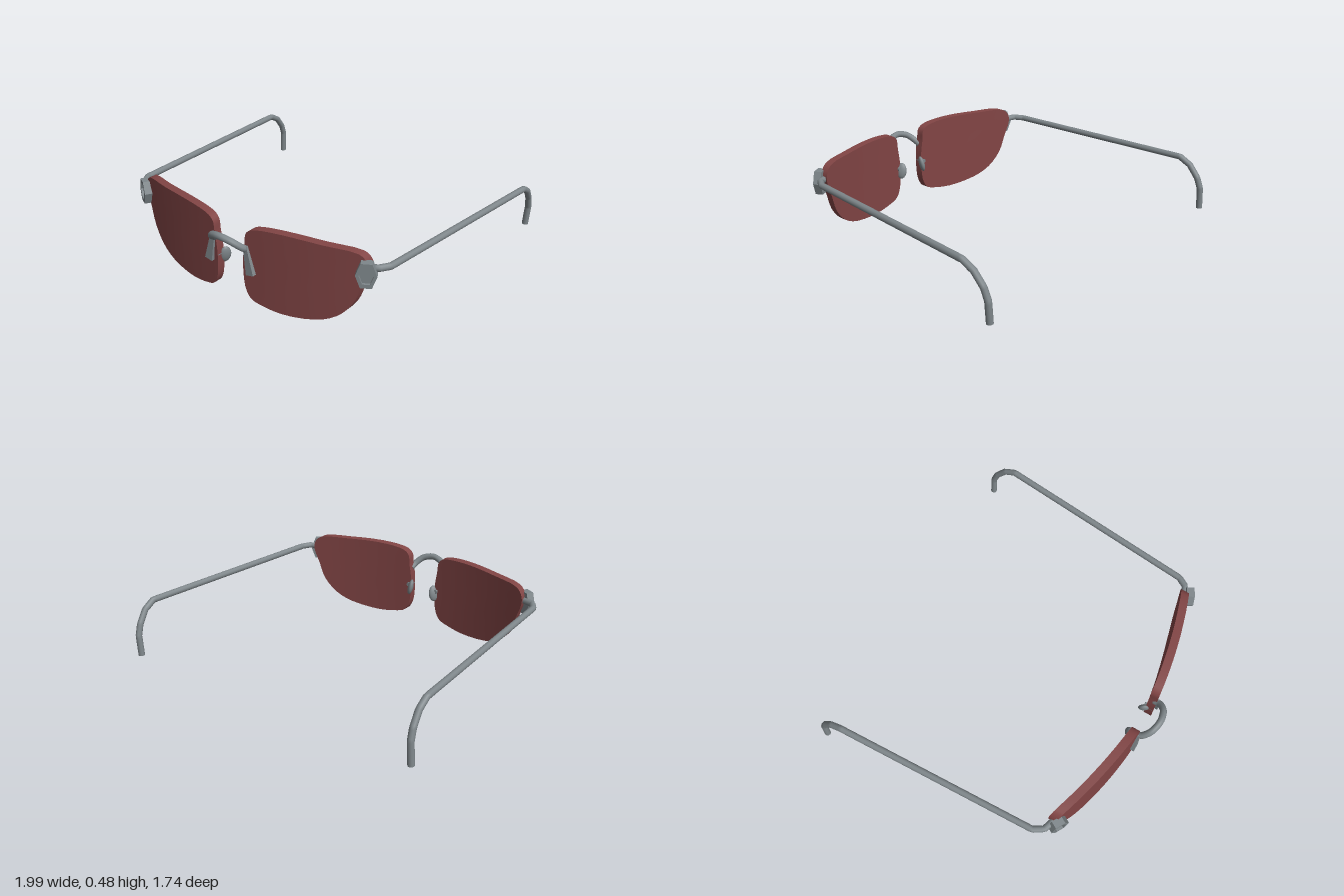
import * as THREE from 'three';
import { toCreasedNormals } from 'three/addons/utils/BufferGeometryUtils.js';

const MID = -0.015; // centre line between the lenses

// Lens outline: distance from the centre line, height
const OUTLINE = [
  [0.742, 0.47], [0.565, 0.482], [0.341, 0.489], [0.191, 0.478], [0.14, 0.462], [0.115, 0.435],
  [0.108, 0.375], [0.095, 0.294], [0.093, 0.187], [0.105, 0.096], [0.137, 0.043], [0.202, 0.021],
  [0.341, 0.005], [0.539, 0.032], [0.645, 0.086], [0.72, 0.176], [0.757, 0.283], [0.792, 0.39], [0.778, 0.44],
];

// Wrap of the lenses towards the temples
function lensDepth(u) {
  const t = (u - 0.09) / 0.7;
  return 0.755 - 0.065 * t - 0.09 * t * t;
}

// Curved lens: rings from the front centre, over the rim, to the back centre
function lensGeometry(s) {
  const curve = new THREE.CatmullRomCurve3(OUTLINE.map(([u, y]) => new THREE.Vector3(u, y, 0)), true, 'centripetal');
  const edge = curve.getPoints(56).slice(0, 56);
  if (s < 0) edge.reverse();
  const scales = [0, 0.25, 0.5, 0.75, 1];
  const rings = [...scales.map(k => [k, 0.025]), ...scales.slice().reverse().map(k => [k, -0.025])];
  const pos = [], index = [], n = edge.length;
  for (const [k, off] of rings) {
    for (const p of edge) {
      const u = 0.44 + (p.x - 0.44) * k, y = 0.26 + (p.y - 0.26) * k;
      pos.push(MID + s * u, y, lensDepth(u) + off);
    }
  }
  for (let r = 0; r < rings.length - 1; r++) {
    for (let i = 0; i < n; i++) {
      const j = (i + 1) % n, a = r * n + i, b = r * n + j, c = a + n, d = b + n;
      if (r > 0) index.push(a, d, b);
      if (r === 0 || r < rings.length - 2) index.push(a, c, d);
      else index.pop(), index.pop(), index.pop(), index.push(a, c, b);
    }
  }
  const g = new THREE.BufferGeometry();
  g.setAttribute('position', new THREE.Float32BufferAttribute(pos, 3));
  g.setIndex(index);
  return toCreasedNormals(g, 0.7);
}

function hexagon(k, Type) {
  const pts = [[0.03, 0.07], [-0.03, 0.07], [-0.056, 0], [-0.03, -0.07], [0.03, -0.07], [0.056, 0]];
  return new Type(pts.map(([x, y]) => new THREE.Vector2(x * k, y * k)));
}

export function createModel() {
  const model = new THREE.Group();
  const metal = new THREE.MeshStandardMaterial({ color: 0x7f878b });
  metal.name = 'grey metal';
  const tint = new THREE.MeshStandardMaterial({ color: 0x824545 });
  tint.name = 'red lens';

  function add(name, geometry, material, parent = model) {
    const mesh = new THREE.Mesh(geometry, material);
    mesh.name = name;
    parent.add(mesh);
    return mesh;
  }

  // Wire through points, closed with flat discs
  function wire(name, points, radius, tension, segments) {
    const group = new THREE.Group();
    group.name = name;
    model.add(group);
    const path = new THREE.CatmullRomCurve3(points.map(p => new THREE.Vector3(...p)), false, 'catmullrom', tension);
    add(name + 'Wire', new THREE.TubeGeometry(path, segments, radius, 10), metal, group);
    for (const t of [0, 1]) {
      const cap = add(name + 'End', new THREE.CircleGeometry(radius, 10), metal, group);
      const p = path.getPointAt(t), d = path.getTangentAt(t).multiplyScalar(t ? 1 : -1);
      cap.position.copy(p);
      cap.quaternion.setFromUnitVectors(new THREE.Vector3(0, 0, 1), d);
    }
  }

  for (const s of [1, -1]) {
    const side = s > 0 ? 'left' : 'right';
    add(side + 'Lens', lensGeometry(s), tint);

    // Hexagonal hinge plate with a raised rim
    const hinge = new THREE.Group();
    hinge.name = side + 'Hinge';
    hinge.position.set(MID + s * 0.79, 0.37, 0.637);
    hinge.rotation.y = s * 0.5;
    model.add(hinge);
    const rim = hexagon(1, THREE.Shape);
    rim.holes.push(hexagon(0.68, THREE.Path));
    const rimGeo = new THREE.ExtrudeGeometry(rim, { depth: 0.045, bevelEnabled: false });
    add(side + 'HingeRim', rimGeo.translate(0, 0, -0.022), metal, hinge);
    const plate = new THREE.ExtrudeGeometry(hexagon(0.68, THREE.Shape), { depth: 0.03, bevelEnabled: false });
    add(side + 'HingePlate', plate.translate(0, 0, -0.022), metal, hinge);

    // Flared clip on the front of the lens
    const clip = add(side + 'BridgeClip', toCreasedNormals(
      new THREE.CylinderGeometry(0.018, 0.036, 0.17, 4, 1).rotateY(Math.PI / 4).scale(1, 1, 0.55), 0.3), metal);
    clip.position.set(MID + s * 0.132, 0.285, 0.782);
    clip.rotation.z = s * 0.2;

    // Nose pad and its stem
    const pad = add(side + 'NosePad', new THREE.SphereGeometry(1, 14, 10).scale(0.018, 0.052, 0.034), metal);
    pad.position.set(MID + s * 0.09, 0.22, 0.722);
    pad.rotation.set(0, s * 0.5, s * 0.2);
    const stem = add(side + 'PadStem', new THREE.CylinderGeometry(0.014, 0.014, 0.06, 8), metal);
    stem.position.set(MID + s * 0.105, 0.235, 0.745);
    stem.rotation.x = Math.PI / 2;
  }

  // Arched bridge
  wire('bridge', [
    [-0.13, 0.34, 0.765], [-0.122, 0.362, 0.8], [-0.09, 0.395, 0.832], [-0.05, 0.411, 0.846], [MID, 0.416, 0.85],
    [0.02, 0.411, 0.846], [0.06, 0.395, 0.832], [0.092, 0.362, 0.8], [0.1, 0.34, 0.765],
  ], 0.02, 0.5, 32);

  // Temples with hooked ends, each splayed a little differently
  wire('leftTemple', [
    [0.745, 0.39, 0.615], [0.815, 0.395, 0.585], [0.848, 0.393, 0.53], [0.975, 0.385, -0.7], [0.971, 0.347, -0.77],
    [0.962, 0.275, -0.825], [0.957, 0.21, -0.848], [0.947, 0.085, -0.85],
  ], 0.019, 0, 110);
  wire('rightTemple', [
    [-0.775, 0.39, 0.615], [-0.87, 0.395, 0.585], [-0.903, 0.393, 0.53], [-0.962, 0.385, -0.7], [-0.965, 0.347, -0.77],
    [-0.97, 0.275, -0.825], [-0.974, 0.21, -0.848], [-0.982, 0.08, -0.85],
  ], 0.019, 0, 110);

  return model;
}
